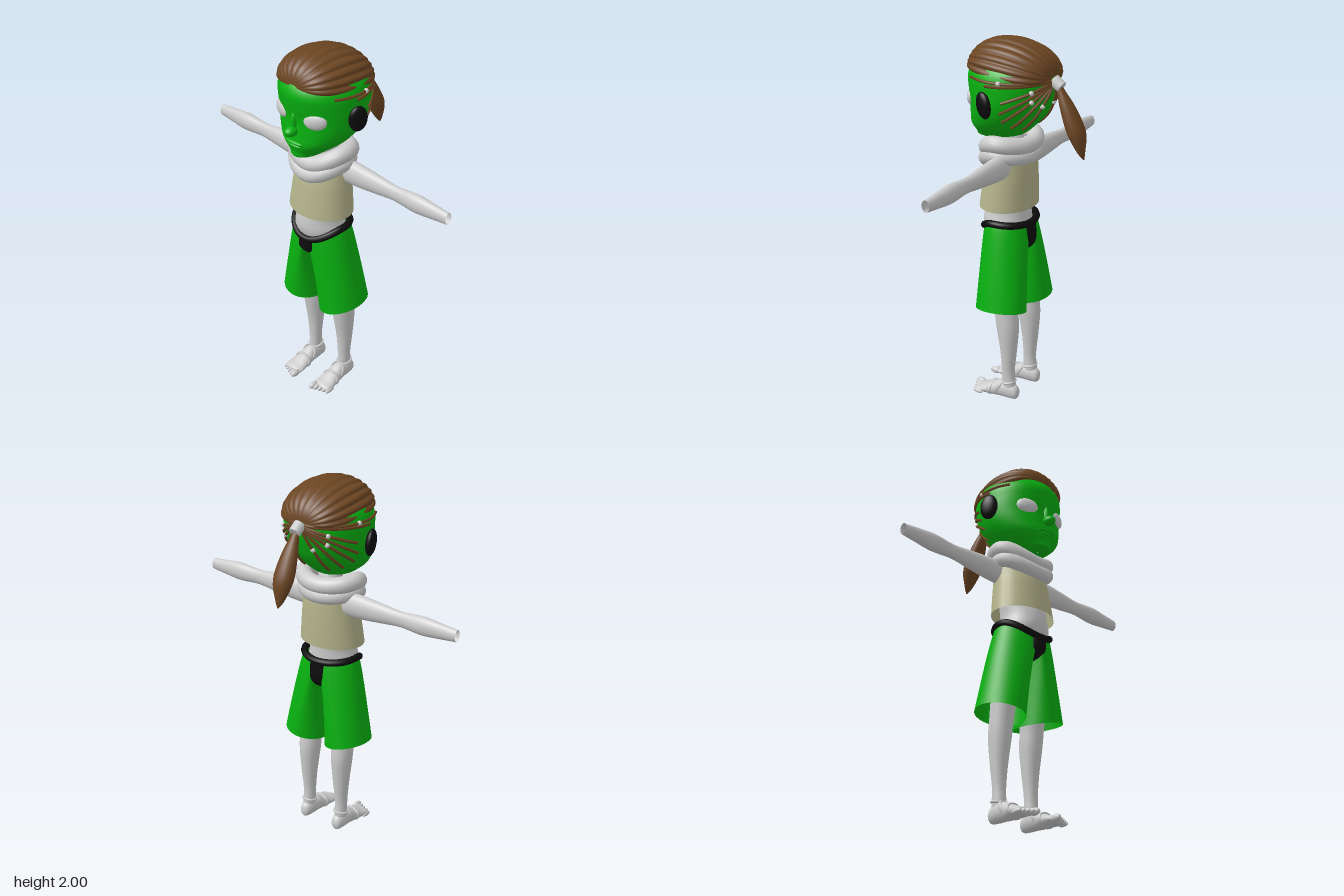
import * as THREE from 'three';
import { mergeVertices } from 'three/addons/utils/BufferGeometryUtils.js';

const mat = (color, side = THREE.FrontSide) => new THREE.MeshStandardMaterial({ color, side });
const GREY = 0xcccccc;
const skin = mat(GREY), skinOpen = mat(GREY, THREE.DoubleSide);
const green = mat(0x08b010), greenOpen = mat(0x08b010, THREE.DoubleSide);
const brown = mat(0x6b4522), brownOpen = mat(0x6b4522, THREE.DoubleSide);
const black = mat(0x0c0c0c), beige = mat(0xb5b48c, THREE.DoubleSide);
const V = (x, y, z) => new THREE.Vector3(x, y, z);

// Smooth surface from a rule f(u, v) -> [x, y, z], welded along its seam
function surface(nu, nv, f) {
  const pos = [], idx = [];
  for (let j = 0; j <= nv; j++) for (let i = 0; i <= nu; i++) pos.push(...f(i / nu, j / nv));
  for (let j = 0; j < nv; j++) for (let i = 0; i < nu; i++) {
    const a = j * (nu + 1) + i, b = a + nu + 1;
    idx.push(a, b, a + 1, b, b + 1, a + 1);
  }
  let g = new THREE.BufferGeometry();
  g.setAttribute('position', new THREE.Float32BufferAttribute(pos, 3));
  g.setIndex(idx);
  g = mergeVertices(g, 1e-5);
  g.computeVertexNormals();
  return g;
}

// Elliptical sections [y, cx, rx, cz, rz], smoothly joined; s counts sections
function sections(rows) {
  const curve = new THREE.CubicInterpolant(rows.map((r, i) => i), rows.flat(), 5);
  return (angle, s, grow = 0) => {
    const [y, cx, rx, cz, rz] = curve.evaluate(s);
    return [cx + (rx + grow) * Math.cos(angle), y, cz + (rz + grow) * Math.sin(angle)];
  };
}
function loft(rows, nu = 28, per = 5) {
  const f = sections(rows), n = rows.length - 1;
  return surface(nu, n * per, (u, v) => f((u % 1) * Math.PI * 2, v * n));
}

function add(parent, name, geometry, material, pos = [0, 0, 0], scale = [1, 1, 1]) {
  const m = new THREE.Mesh(geometry, material);
  m.name = name;
  m.position.set(...pos);
  m.scale.set(...scale);
  parent.add(m);
  return m;
}
const ball = new THREE.SphereGeometry(1, 24, 16);
const tube = (pts, r, closed = false, n = 20, sides = 8) =>
  new THREE.TubeGeometry(new THREE.CatmullRomCurve3(pts, closed), n, r, sides, closed);

// Closed loop around the body whose height differs at front, sides and back
function loop(rx, rz, cz, side, front, back, r, sides) {
  const pts = [];
  for (let i = 0; i < 24; i++) {
    const a = i / 24 * Math.PI * 2, s = Math.sin(a);
    pts.push(V(rx * Math.cos(a), side + ((s > 0 ? front : back) - side) * s * s, cz + rz * s));
  }
  return tube(pts, r, true, 72, sides);
}

const HEAD = [
  [1.475, 0, 0.002, 0.22, 0.002], [1.482, 0, 0.06, 0.2, 0.085], [1.51, 0, 0.105, 0.155, 0.135],
  [1.56, 0, 0.168, 0.13, 0.172], [1.62, 0, 0.208, 0.1, 0.195], [1.69, 0, 0.228, 0.08, 0.21],
  [1.76, 0, 0.23, 0.074, 0.228], [1.82, 0, 0.226, 0.074, 0.233], [1.87, 0, 0.205, 0.07, 0.215],
  [1.92, 0, 0.15, 0.07, 0.16], [1.945, 0, 0.08, 0.07, 0.09], [1.95, 0, 0.002, 0.07, 0.002]];

function buildHead() {
  const g = new THREE.Group();
  g.name = 'head';
  add(g, 'face', loft(HEAD, 40), green);
  add(g, 'nose', ball, green, [0, 1.632, 0.308], [0.03, 0.026, 0.04]);
  add(g, 'noseBridge', ball, green, [0, 1.675, 0.282], [0.018, 0.06, 0.025]);
  add(g, 'upperLip', ball, green, [0, 1.569, 0.292], [0.06, 0.011, 0.02]);
  add(g, 'lowerLip', ball, green, [0, 1.55, 0.287], [0.05, 0.012, 0.02]);
  add(g, 'chin', ball, green, [0, 1.505, 0.26], [0.05, 0.028, 0.03]);

  // Hair cap: ridged locks sweeping from the hairline back to the tie
  const locks = 12;
  const cap = surface(96, 28, (u, v) => {
    const phi = (u - 0.5) * Math.PI * 1.06, t = (0.01 + 0.98 * v) * Math.PI;
    const ridge = 0.95 + 0.06 * Math.abs(Math.sin(u * locks * Math.PI)), w = Math.sin(t);
    return [0.212 * Math.sin(phi) * Math.pow(w, 0.6) * ridge,
      1.845 + 0.02 * Math.cos(t) + 0.154 * Math.cos(phi) * Math.pow(w, 0.8) * ridge,
      0.067 + 0.226 * Math.cos(t)];
  });
  add(g, 'hairCap', cap, brownOpen);
  add(g, 'ponytail', loft([[1.435, 0, 0.002, -0.336, 0.003], [1.475, 0, 0.026, -0.32, 0.02],
    [1.57, 0, 0.055, -0.292, 0.046], [1.68, 0, 0.045, -0.245, 0.04],
    [1.77, 0, 0.022, -0.2, 0.022], [1.81, 0, 0.015, -0.175, 0.015]], 16), brown);
  const tie = add(g, 'hairTie', new THREE.CylinderGeometry(0.033, 0.03, 0.055, 16), skin, [0, 1.803, -0.182]);
  tie.rotation.x = 1.0;

  // Eyes, ears and thin strands drawn across the scalp
  const scalp = sections(HEAD);
  const strands = [[0.6, 7.1], [0.1, 6.7], [-0.3, 5.5], [-0.3, 4.7], [-0.4, 4], [-0.7, 3.4], [-1.1, 3]];
  for (const side of [1, -1]) {
    const half = new THREE.Group();
    half.name = side > 0 ? 'leftHeadSide' : 'rightHeadSide';
    half.scale.x = side;
    g.add(half);
    const eye = add(half, 'eye', ball, skin, [0.11, 1.702, 0.255], [0.06, 0.044, 0.026]);
    eye.rotation.set(0, 0.42, 0.08);
    const ear = add(half, 'ear', ball, black, [0.242, 1.708, 0.098], [0.026, 0.07, 0.05]);
    ear.rotation.set(0.1, -0.35, -0.05);
    strands.forEach(([a, s], k) => {
      const pts = [];
      for (let i = 0; i <= 8; i++) {
        const t = i / 8;
        pts.push(V(...scalp(a + (-Math.PI / 2 - a) * t, s + (7 - s) * t, 0.003)));
      }
      add(half, 'strand', tube(pts, 0.008, false, 20, 6), brown);
      if (k % 2 === 0) add(half, 'bead', ball, skin, pts[k === 0 ? 3 : 4].toArray(), [0.013, 0.013, 0.013]);
    });
  }
  return g;
}

function buildTorso() {
  const g = new THREE.Group();
  g.name = 'torso';
  add(g, 'body', loft([[0.9, 0, 0.04, 0.1, 0.05], [0.95, 0, 0.125, 0.1, 0.105], [1.02, 0, 0.135, 0.113, 0.125],
    [1.1, 0, 0.118, 0.113, 0.125], [1.2, 0, 0.125, 0.1, 0.115], [1.32, 0, 0.13, 0.085, 0.1],
    [1.41, 0, 0.125, 0.075, 0.085], [1.45, 0, 0.07, 0.08, 0.07], [1.53, 0, 0.06, 0.1, 0.06]]), skin);
  add(g, 'vest', loft([[1.12, 0, 0.182, 0.105, 0.145], [1.22, 0, 0.17, 0.098, 0.139],
    [1.32, 0, 0.157, 0.09, 0.13], [1.4, 0, 0.14, 0.077, 0.11], [1.43, 0, 0.09, 0.075, 0.085]]), beige);
  add(g, 'upperScarf', loop(0.155, 0.11, 0.09, 1.483, 1.415, 1.46, 0.045, 14), skin);
  add(g, 'lowerScarf', loop(0.145, 0.115, 0.095, 1.42, 1.355, 1.405, 0.043, 14), skin);
  add(g, 'waistband', loop(0.153, 0.13, 0.1, 1.045, 0.975, 1.035, 0.019, 10), black);
  const strap = tube([V(0, 0.985, 0.22), V(0, 0.91, 0.22), V(0, 0.885, 0.17), V(0, 0.885, 0.03),
    V(0, 0.92, -0.022), V(0, 1.04, -0.022)], 0.02, false, 32, 12);
  add(g, 'centrePanel', strap, black, [0, 0, 0], [2.3, 1, 1]);
  return g;
}

// One arm, trouser leg, leg and foot on the +x side
function buildLimbs(name) {
  const g = new THREE.Group();
  g.name = name;
  const arm = add(g, 'arm', loft([[0.1, 0, 0.068, 0, 0.045], [0.22, 0, 0.063, 0, 0.042], [0.34, 0, 0.052, 0, 0.035],
    [0.46, 0, 0.041, 0, 0.027], [0.59, 0, 0.049, 0, 0.035], [0.69, 0, 0.041, 0, 0.028],
    [0.785, 0, 0.031, 0, 0.022]], 20), skinOpen, [0, 1.365, 0.06]);
  arm.rotation.z = -Math.PI / 2;

  // Trousers: half-oval at the waist opening to a full oval hem
  const trousers = surface(40, 20, (u, v) => {
    const a = (u % 1) * Math.PI * 2, c = Math.cos(a), s = Math.sin(a), t = 1 - v;
    const top = [0.008 + 0.147 * Math.max(0, c), 1.04 - (s > 0 ? 0.07 : 0.01) * s * s - 0.07 * Math.max(0, -c),
      0.1 + 0.127 * s];
    const hem = [0.133 + 0.117 * c, 0.555 + 0.025 * c - 0.01 * s, 0.076 + 0.143 * s];
    const k = Math.pow(t, 0.85);
    return [top[0] + (hem[0] - top[0]) * k, top[1] + (hem[1] - top[1]) * t, top[2] + (hem[2] - top[2]) * k];
  });
  add(g, 'trouserLeg', trousers, greenOpen);
  add(g, 'leg', loft([[0.04, 0.11, 0.028, 0.04, 0.035], [0.1, 0.11, 0.033, 0.045, 0.04], [0.18, 0.11, 0.034, 0.047, 0.036],
    [0.3, 0.11, 0.044, 0.045, 0.046], [0.44, 0.109, 0.056, 0.05, 0.063], [0.54, 0.108, 0.059, 0.06, 0.066],
    [0.7, 0.1, 0.065, 0.08, 0.075], [0.92, 0.075, 0.06, 0.1, 0.08]], 20), skin);

  // Foot runs heel to toe, with wraps and five toes
  const foot = add(g, 'foot', loft([[-0.017, 0.11, 0.002, -0.05, 0.002], [-0.005, 0.11, 0.026, -0.05, 0.035],
    [0.035, 0.11, 0.037, -0.058, 0.05], [0.09, 0.11, 0.041, -0.057, 0.05], [0.14, 0.11, 0.047, -0.045, 0.04],
    [0.2, 0.111, 0.055, -0.033, 0.025], [0.235, 0.112, 0.05, -0.028, 0.018], [0.245, 0.112, 0.002, -0.027, 0.002]], 20), skin);
  foot.rotation.x = Math.PI / 2;
  [[0.1, 0.065, 0.042, 0.05, 0.5], [0.15, 0.045, 0.049, 0.038, 0.15]].forEach(([z, y, rx, ry, tilt]) => {
    const wrap = add(g, 'footWrap', new THREE.TorusGeometry(1, 0.13, 8, 28), skin, [0.11, y, z], [rx, ry, 0.09]);
    wrap.rotation.x = -tilt;
  });
  const cuff = add(g, 'ankleWrap', new THREE.TorusGeometry(0.036, 0.007, 8, 28), skin, [0.11, 0.11, 0.045]);
  cuff.rotation.x = Math.PI / 2 + 0.2;
  for (let i = 0; i < 5; i++) {
    const r = i === 0 ? 0.017 : 0.013 - i * 0.0006;
    add(g, 'toe', ball, skin, [0.072 + i * 0.0225, 0.03 - i * 0.002, 0.252 - i * 0.009], [r, r * 1.15, 0.032]);
  }
  return g;
}

export function createModel() {
  const model = new THREE.Group();
  model.name = 'figure';
  const left = buildLimbs('leftLimbs'), right = buildLimbs('rightLimbs');
  right.scale.x = -1;
  model.add(buildHead(), buildTorso(), left, right);
  return model;
}
